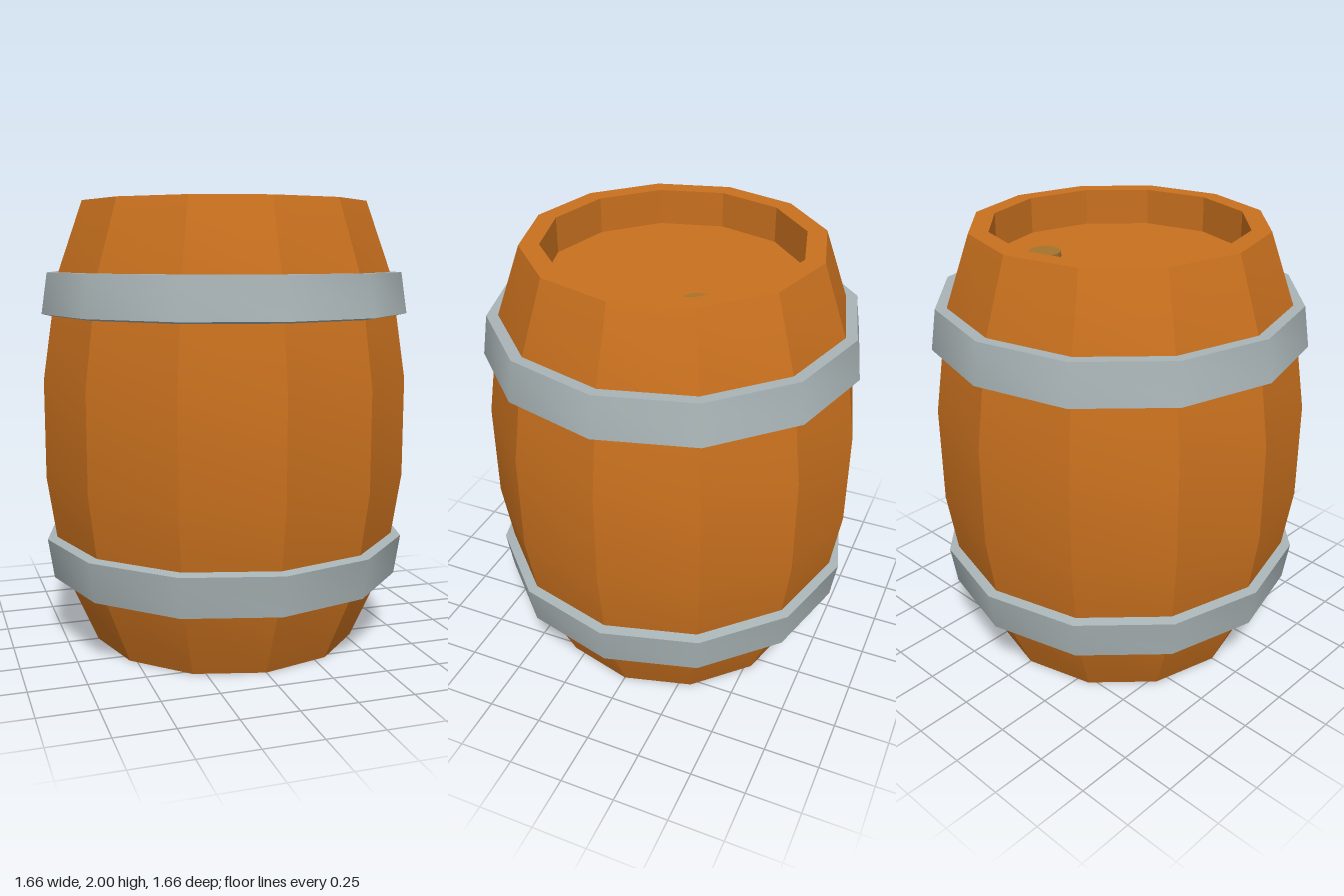
import * as THREE from 'three';
import { toCreasedNormals } from 'three/addons/utils/BufferGeometryUtils.js';

const SIDES = 12;

// Twelve-sided turned part; the crease angle decides which edges stay sharp
function turned(name, profile, color, crease) {
  const points = profile.map(([r, y]) => new THREE.Vector2(r, y));
  const geometry = toCreasedNormals(new THREE.LatheGeometry(points, SIDES), crease);
  const mesh = new THREE.Mesh(geometry, new THREE.MeshStandardMaterial({ color }));
  mesh.name = name;
  return mesh;
}

export function createModel() {
  const barrel = new THREE.Group();
  barrel.name = 'barrel';

  // Wooden body with a recessed bottom and a recessed lid
  barrel.add(turned('body', [
    [0, 0.12], [0.49, 0.12], [0.49, 0], [0.61, 0],
    [0.75, 0.32], [0.788, 0.5], [0.83, 0.78], [0.83, 1.22],
    [0.788, 1.5], [0.755, 1.69], [0.645, 2],
    [0.56, 2], [0.56, 1.84], [0, 1.84],
  ], 0xc8701e, 0.42));

  // Metal hoops, mirrored about the middle
  const hoop = [[0.76, 1.495], [0.832, 1.51], [0.805, 1.69], [0.74, 1.69], [0.76, 1.495]];
  barrel.add(turned('upperHoop', hoop, 0xa9b4b6, 0.6));
  const mirrored = hoop.map(([r, y]) => [r, 2.005 - y]).reverse();
  barrel.add(turned('lowerHoop', mirrored, 0xa9b4b6, 0.6));

  // Bung in the lid
  const bung = new THREE.Mesh(
    new THREE.CylinderGeometry(0.07, 0.07, 0.04, 24),
    new THREE.MeshStandardMaterial({ color: 0xa5742d }),
  );
  bung.name = 'bung';
  bung.position.set(0.25, 1.845, -0.205);
  barrel.add(bung);

  return barrel;
}
